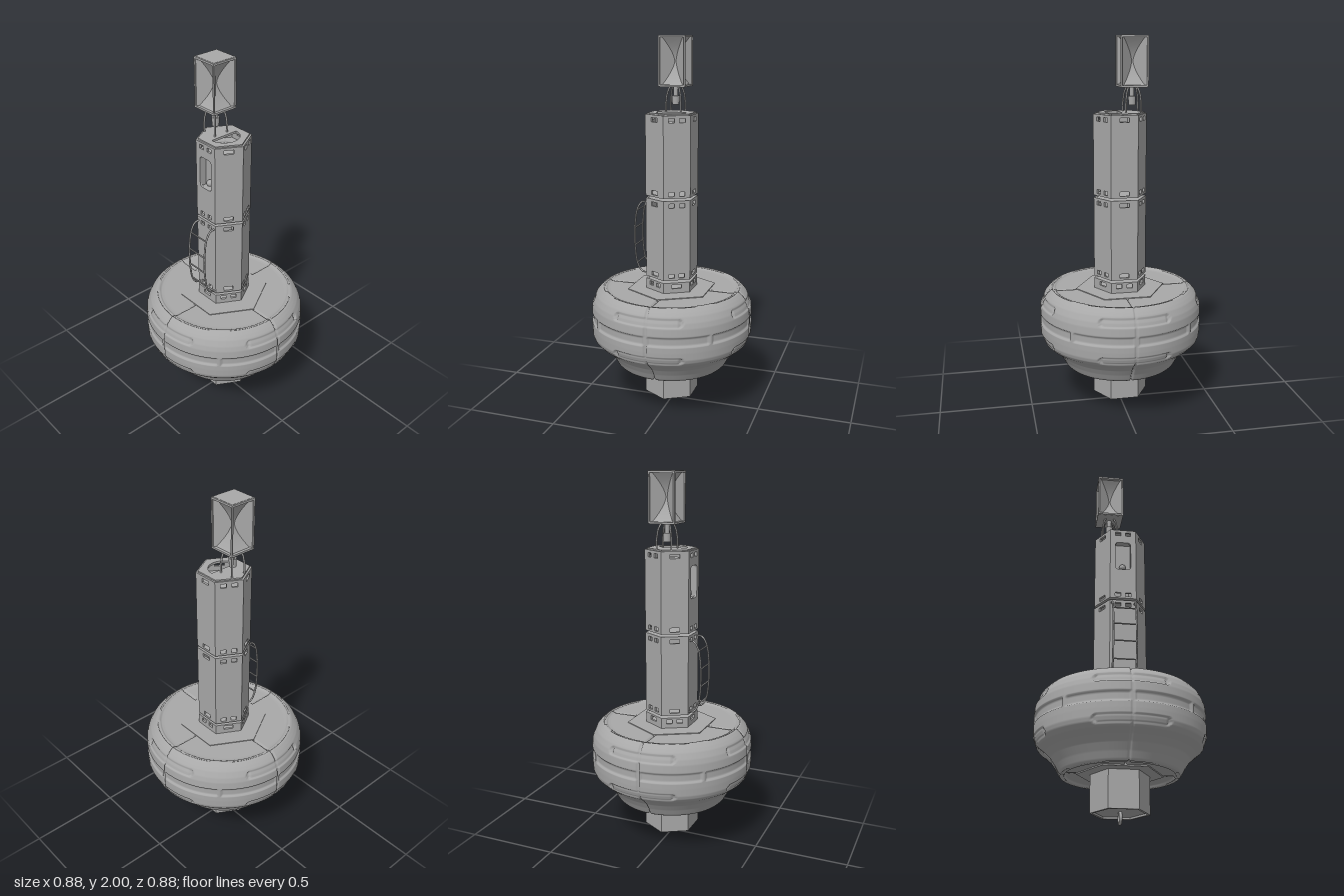
import * as THREE from 'three';
import { toCreasedNormals } from 'three/addons/utils/BufferGeometryUtils.js';

const grey = new THREE.MeshStandardMaterial({ color: 0xa8a8a8 });
grey.name = 'grey';
const { sin, cos, abs, max, min, hypot, PI } = Math;

function add(parent, name, geo, x = 0, y = 0, z = 0) {
  const mesh = new THREE.Mesh(geo, grey);
  mesh.name = name;
  mesh.position.set(x, y, z);
  parent.add(mesh);
  return mesh;
}

// Hexagonal prism with corners on the z axis
const hexPrism = (r, y0, y1) =>
  toCreasedNormals(new THREE.CylinderGeometry(r, r, y1 - y0, 6), 0.5).translate(0, (y0 + y1) / 2, 0);

function hexShape(r) {
  const pts = [];
  for (let k = 0; k < 6; k++) pts.push(new THREE.Vector2(r * cos(PI / 2 + k * PI / 3), r * sin(PI / 2 + k * PI / 3)));
  return new THREE.Shape(pts);
}

const plate = (shape, y0, y1) =>
  new THREE.ExtrudeGeometry(shape, { depth: y1 - y0, bevelEnabled: false, curveSegments: 20 }).rotateX(-PI / 2).translate(0, y0, 0);

const tube = (pts, r) => new THREE.TubeGeometry(new THREE.CatmullRomCurve3(pts.map(p => new THREE.Vector3(...p))), 32, r, 8);

function roundRect(w, h, r, cy) {
  const p = new THREE.Path(), x = w / 2, b = cy - h / 2, t = cy + h / 2;
  p.moveTo(-x + r, b);
  p.lineTo(x - r, b).quadraticCurveTo(x, b, x, b + r);
  p.lineTo(x, t - r).quadraticCurveTo(x, t, x - r, t);
  p.lineTo(-x + r, t).quadraticCurveTo(-x, t, -x, t - r);
  p.lineTo(-x, b + r).quadraticCurveTo(-x, b, -x + r, b);
  return p;
}

// Float: a turned profile with seams, pill recesses and a belt pressed into it
function floatBody() {
  const profile = [[0.18, 0.25], [0.27, 0.25], [0.278, 0.237], [0.298, 0.237], [0.307, 0.247], [0.325, 0.28],
    [0.35, 0.317], [0.38, 0.345], [0.41, 0.368], [0.43, 0.39], [0.437, 0.41], [0.439, 0.45], [0.439, 0.54],
    [0.436, 0.578], [0.428, 0.605], [0.412, 0.636], [0.398, 0.652], [0.382, 0.667], [0.372, 0.672],
    [0.363, 0.671], [0.352, 0.662], [0.335, 0.66], [0.18, 0.66]];
  const rows = [];
  profile.slice(1).forEach(([r1, y1], i) => {
    const [r0, y0] = profile[i], len = hypot(r1 - r0, y1 - y0);
    const n = len > 0.085 && abs(y1 - y0) < 0.005 ? 6 : Math.ceil(len / 0.0055);
    for (let k = 0; k < n; k++) rows.push([r0 + (r1 - r0) * k / n, y0 + (y1 - y0) * k / n]);
  });
  rows.push(profile[profile.length - 1]);

  const dent = (d, w) => 1 - THREE.MathUtils.smoothstep(d, -w, w);
  const pill = (u, v, hu, hv) => hypot(max(abs(u) - hu + hv, 0), max(abs(v) - hv, 0) * 0.999 + (abs(u) > hu - hv ? min(abs(v), hv) : 0)) - (abs(u) > hu - hv ? hv : 0);
  const cols = 368, pos = [], idx = [];
  rows.forEach(([r, y], i) => {
    const p = rows[max(i - 1, 0)], q = rows[min(i + 1, rows.length - 1)];
    const l = hypot(q[0] - p[0], q[1] - p[1]), nr = (q[1] - p[1]) / l, ny = (p[0] - q[0]) / l;
    for (let j = 0; j < cols; j++) {
      const t = j / cols * 2 * PI;
      const a = abs(t - Math.round(t / (PI / 2)) * PI / 2);
      let depth = 0.01 * dent(r * a - 0.004, 0.003);
      if (r > 0.38) {
        for (const cy of [0.605, 0.402]) depth = max(depth, 0.011 * dent(pill(0.43 * a, y - cy, 0.191, 0.019), 0.003));
        depth = max(depth, 0.009 * dent(max(abs(0.44 * (a - PI / 8)) - 0.161, abs(y - 0.508) - 0.022), 0.003));
      }
      // Thin arcs along the top and bottom rims
      if (y > 0.655) depth = max(depth, 0.008 * dent(max(r * a - 0.235, abs(r - 0.367) - 0.004), 0.003));
      if (y < 0.245) depth = max(depth, 0.006 * dent(max(r * a - 0.12, abs(r - 0.288) - 0.005), 0.003));
      const rr = r - nr * depth;
      pos.push(rr * sin(t), y - ny * depth, rr * cos(t));
      if (i < rows.length - 1) {
        const b = i * cols + (j + 1) % cols, c = i * cols + j;
        idx.push(c, b, b + cols, c, b + cols, c + cols);
      }
    }
  });
  const g = new THREE.BufferGeometry();
  g.setAttribute('position', new THREE.Float32BufferAttribute(pos, 3));
  g.setIndex(idx);
  g.computeVertexNormals();
  return g;
}

// Hollow hexagonal tower section: six slotted panels and end plates
const R = 0.142, APO = R * cos(PI / 6), WALL = 0.012;
function section(parent, name, y0, y1, slotYs, flip, windowY) {
  const g = new THREE.Group();
  g.name = name;
  parent.add(g);
  for (let k = 0; k < 6; k++) {
    const s = new THREE.Shape();
    s.moveTo(-R / 2, y0).lineTo(R / 2, y0).lineTo(R / 2, y1).lineTo(-R / 2, y1).closePath();
    const pair = (k % 2 === 0) !== flip;
    for (const y of slotYs) for (const x of pair ? [-0.028, 0.028] : [0]) {
      const w = pair ? 0.03 : 0.05, h = new THREE.Path();
      h.moveTo(x - w / 2, y - 0.011).lineTo(x - w / 2, y + 0.011).lineTo(x + w / 2, y + 0.011).lineTo(x + w / 2, y - 0.011).closePath();
      s.holes.push(h);
    }
    if (windowY && k === 4) s.holes.push(roundRect(0.085, 0.17, 0.02, windowY));
    const geo = new THREE.ExtrudeGeometry(s, { depth: WALL, bevelEnabled: false });
    add(g, 'panel', geo.translate(0, 0, APO - WALL).rotateY(PI / 6 + k * PI / 3));
  }
  add(g, 'basePlate', hexPrism(R - 0.004, y0 + 0.001, y0 + 0.007));
  return g;
}

// Radar reflector: hourglass core, diagonal fins, end plates and corner posts
function reflector() {
  const g = new THREE.Group(), H = 0.13, W = 0.068;
  g.name = 'radarReflector';
  const core = new THREE.CylinderGeometry(W * Math.SQRT2, W * Math.SQRT2, 2 * H - 0.01, 4, 16, true).rotateY(PI / 4);
  const p = core.attributes.position;
  for (let i = 0; i < p.count; i++) {
    const t = abs(p.getY(i)) / H, f = 0.08 + 0.86 * Math.pow(t, 1.5);
    p.setX(i, p.getX(i) * f);
    p.setZ(i, p.getZ(i) * f);
  }
  add(g, 'hourglassCore', toCreasedNormals(core, 0.5));
  for (const s of [1, -1]) {
    add(g, 'diagonalFin', new THREE.BoxGeometry(W * 2.8, 2 * H - 0.01, 0.003)).rotation.y = s * PI / 4;
    add(g, 'endPlate', new THREE.BoxGeometry(0.144, 0.01, 0.144), 0, s * (H - 0.006), 0);
    add(g, 'endPanel', new THREE.BoxGeometry(0.13, 0.003, 0.13), 0, s * (H - 0.0015), 0);
    for (const q of [1, -1]) add(g, 'cornerPost', new THREE.BoxGeometry(0.008, 2 * H - 0.01, 0.008), s * W, 0, q * W);
  }
  return g;
}

export function createModel() {
  const model = new THREE.Group();
  model.name = 'buoy';

  // Float and its hexagonal plates
  add(model, 'float', floatBody());
  add(model, 'topHexPlate', hexPrism(0.243, 0.64, 0.664));
  add(model, 'bottomHexPlate', hexPrism(0.22, 0.244, 0.262));

  // Keel block with recessed underside and mooring ring
  add(model, 'keel', hexPrism(0.15, 0.064, 0.25));
  const rim = hexShape(0.15);
  rim.holes.push(hexShape(0.136));
  add(model, 'keelRim', plate(rim, 0.054, 0.065));
  add(model, 'mooringRing', new THREE.TorusGeometry(0.027, 0.008, 10, 32), 0, 0.036, 0);

  // Tower
  const collar = section(model, 'collar', 0.66, 0.72, [0.699], true);
  add(collar, 'topPlate', hexPrism(R - 0.004, 0.713, 0.719));
  const lower = section(model, 'lowerTower', 0.734, 1.165, [0.757, 1.139], false);
  add(lower, 'topPlate', hexPrism(R - 0.004, 1.158, 1.164));
  const upper = section(model, 'upperTower', 1.178, 1.605, [1.2, 1.58], false, 1.44);
  for (const y of [0.727, 1.171]) add(model, 'joint', new THREE.CylinderGeometry(0.04, 0.04, 0.018, 24), 0, y, 0);

  // Tower cap with half-round opening and a shallow faceted dish below
  const cap = hexShape(0.131), opening = new THREE.Path();
  opening.absarc(0, 0, 0.08, PI, 2 * PI, false);
  opening.closePath();
  cap.holes.push(opening);
  add(upper, 'cap', plate(cap, 1.6, 1.612));
  add(upper, 'innerFloor', hexPrism(0.125, 1.54, 1.546));
  add(upper, 'innerDish', toCreasedNormals(new THREE.CylinderGeometry(0.03, 0.08, 0.016, 8), 0.2), 0, 1.554, 0);

  // Recess and knob behind the window
  add(upper, 'windowBack', new THREE.BoxGeometry(0.004, 0.19, 0.1), -0.08, 1.44, 0);
  for (const s of [1, -1]) {
    add(upper, 'windowSide', new THREE.BoxGeometry(0.034, 0.19, 0.004), -0.096, 1.44, s * 0.047);
    add(upper, 'windowLedge', new THREE.BoxGeometry(0.034, 0.004, 0.1), -0.096, 1.44 + s * 0.09, 0);
  }
  add(upper, 'windowKnob', new THREE.SphereGeometry(0.018, 16, 12), -0.095, 1.38, 0);

  // Ladder on the tower side
  const ladder = new THREE.Group();
  ladder.name = 'ladder';
  model.add(ladder);
  for (const z of [-0.061, 0.061])
    add(ladder, 'ladderRail', tube([[-0.118, 1.143, z], [-0.15, 1.138, z], [-0.176, 1.095, z], [-0.189, 1.01, z], [-0.191, 0.945, z],
      [-0.189, 0.88, z], [-0.176, 0.795, z], [-0.15, 0.754, z], [-0.118, 0.748, z]], 0.005));
  for (const [x, y] of [[-0.178, 1.09], [-0.19, 0.993], [-0.19, 0.897], [-0.178, 0.8]])
    add(ladder, 'rung', new THREE.CylinderGeometry(0.004, 0.004, 0.122, 8).rotateX(PI / 2), x, y, 0);

  // Lamp hanger, bent legs and reflector
  const mast = new THREE.Group();
  mast.name = 'mast';
  mast.position.z = -0.063;
  model.add(mast);
  for (const sx of [1, -1]) for (const sz of [1, -1])
    add(mast, 'leg', tube([[sx * 0.04, 1.606, sz * 0.04], [sx * 0.04, 1.66, sz * 0.04], [sx * 0.034, 1.71, sz * 0.034], [sx * 0.022, 1.745, sz * 0.022]], 0.005));
  add(mast, 'stem', new THREE.CylinderGeometry(0.012, 0.012, 0.07, 16), 0, 1.71, 0);
  add(mast, 'stemSocket', new THREE.CylinderGeometry(0.02, 0.018, 0.045, 20), 0, 1.67, 0);
  const top = reflector();
  top.position.y = 1.87;
  mast.add(top);
  return model;
}
